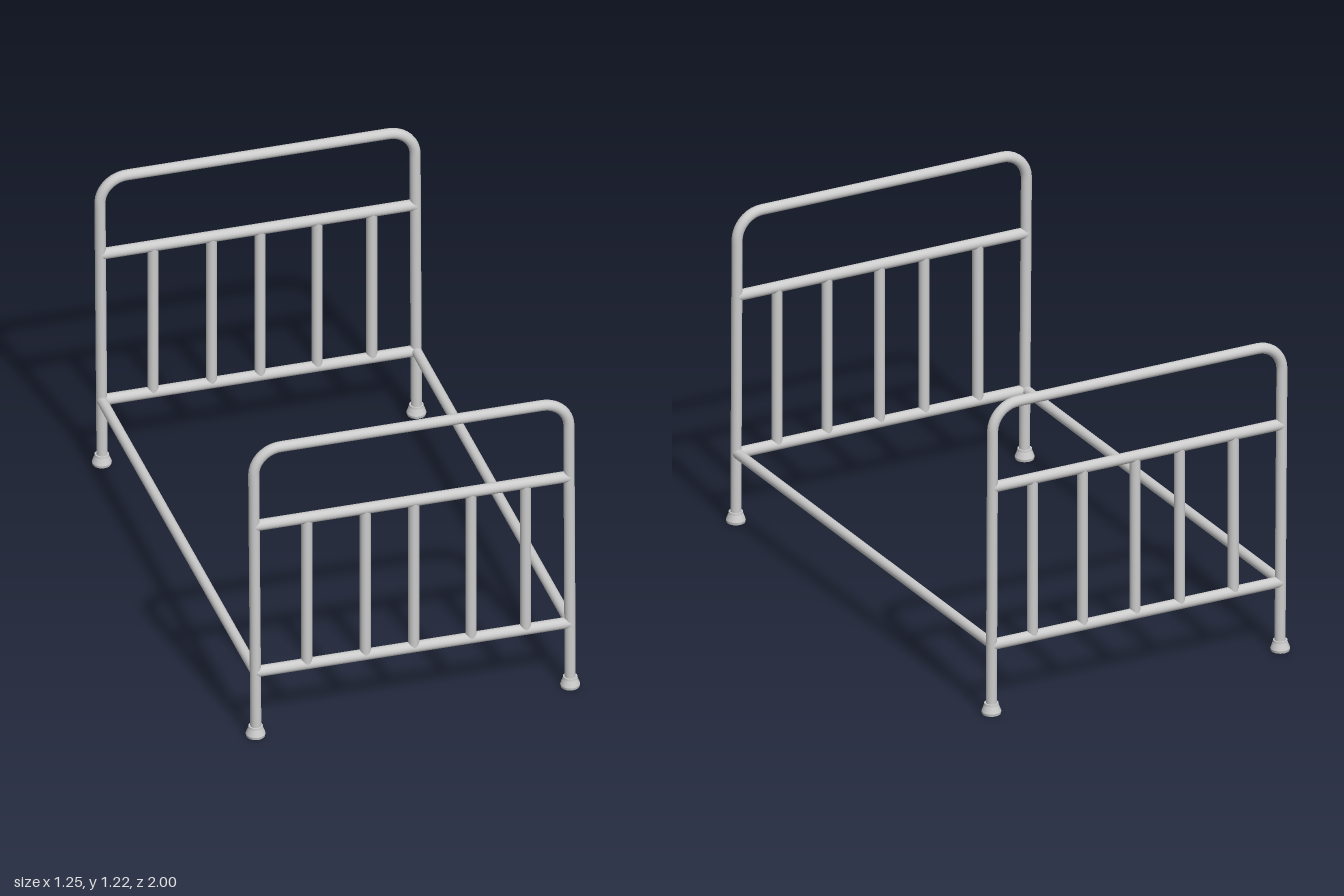
import * as THREE from 'three';

const material = new THREE.MeshStandardMaterial({ color: 0xcccccc });
const R = 0.02; // tube radius
const v = (x, y, z = 0) => new THREE.Vector3(x, y, z);

function add(parent, name, geometry) {
  const mesh = new THREE.Mesh(geometry, material);
  mesh.name = name;
  parent.add(mesh);
  return mesh;
}

// Straight round bar between two points
function bar(parent, name, a, b, radius = R) {
  const dir = b.clone().sub(a);
  const mesh = add(parent, name, new THREE.CylinderGeometry(radius, radius, dir.length(), 20));
  mesh.position.copy(a).add(b).multiplyScalar(0.5);
  mesh.quaternion.setFromUnitVectors(v(0, 1), dir.normalize());
}

// Bent tube: two slightly leaning posts joined by a top bar with round corners
function archGeometry() {
  const top = 1.2, bend = 0.1, k = bend * 0.448; // k places the quarter-round handles
  const xl = -0.596, xr = 0.582;
  const path = new THREE.CurvePath();
  path.add(new THREE.LineCurve3(v(-0.588, 0.01), v(xl, top - bend)));
  path.add(new THREE.CubicBezierCurve3(v(xl, top - bend), v(xl, top - k), v(xl + k, top), v(xl + bend, top)));
  path.add(new THREE.LineCurve3(v(xl + bend, top), v(xr - bend, top)));
  path.add(new THREE.CubicBezierCurve3(v(xr - bend, top), v(xr - k, top), v(xr, top - k), v(xr, top - bend)));
  path.add(new THREE.LineCurve3(v(xr, top - bend), v(0.587, 0.01)));
  return new THREE.TubeGeometry(path, 200, R, 20);
}

// Flared foot, profiled in separate bands so its rims stay sharp
function addFoot(parent, x) {
  const foot = new THREE.Group();
  foot.name = 'foot';
  foot.position.x = x;
  const profile = [[0, 0], [0.034, 0], [0.036, 0.01], [0.027, 0.034], [0.026, 0.042], [0, 0.042]];
  for (let i = 0; i < profile.length - 1; i++) {
    const points = [profile[i], profile[i + 1]].map(([r, y]) => new THREE.Vector2(r, y));
    add(foot, 'footBand', new THREE.LatheGeometry(points, 24));
  }
  parent.add(foot);
}

// Head or foot end of the bed
function bedEnd(name, z) {
  const end = new THREE.Group();
  end.name = name;
  end.position.z = z;
  const lowY = 0.268, midY = 0.884;
  add(end, 'archFrame', archGeometry());
  bar(end, 'middleRail', v(-0.593, midY), v(0.583, midY), 0.021);
  bar(end, 'lowerRail', v(-0.589, lowY), v(0.585, lowY), 0.021);
  for (const x of [-0.398, -0.179, 0.002, 0.216, 0.42]) {
    bar(end, 'spindle', v(x, lowY), v(x, midY));
  }
  addFoot(end, -0.589);
  addFoot(end, 0.587);
  return end;
}

export function createModel() {
  const bed = new THREE.Group();
  bed.name = 'bedFrame';
  bed.add(bedEnd('footboard', 0.963), bedEnd('headboard', -0.963));
  // Long side rails
  bar(bed, 'rightSideRail', v(-0.591, 0.27, -0.963), v(-0.591, 0.27, 0.963), 0.019);
  bar(bed, 'leftSideRail', v(0.585, 0.27, -0.963), v(0.585, 0.27, 0.963), 0.019);
  return bed;
}
